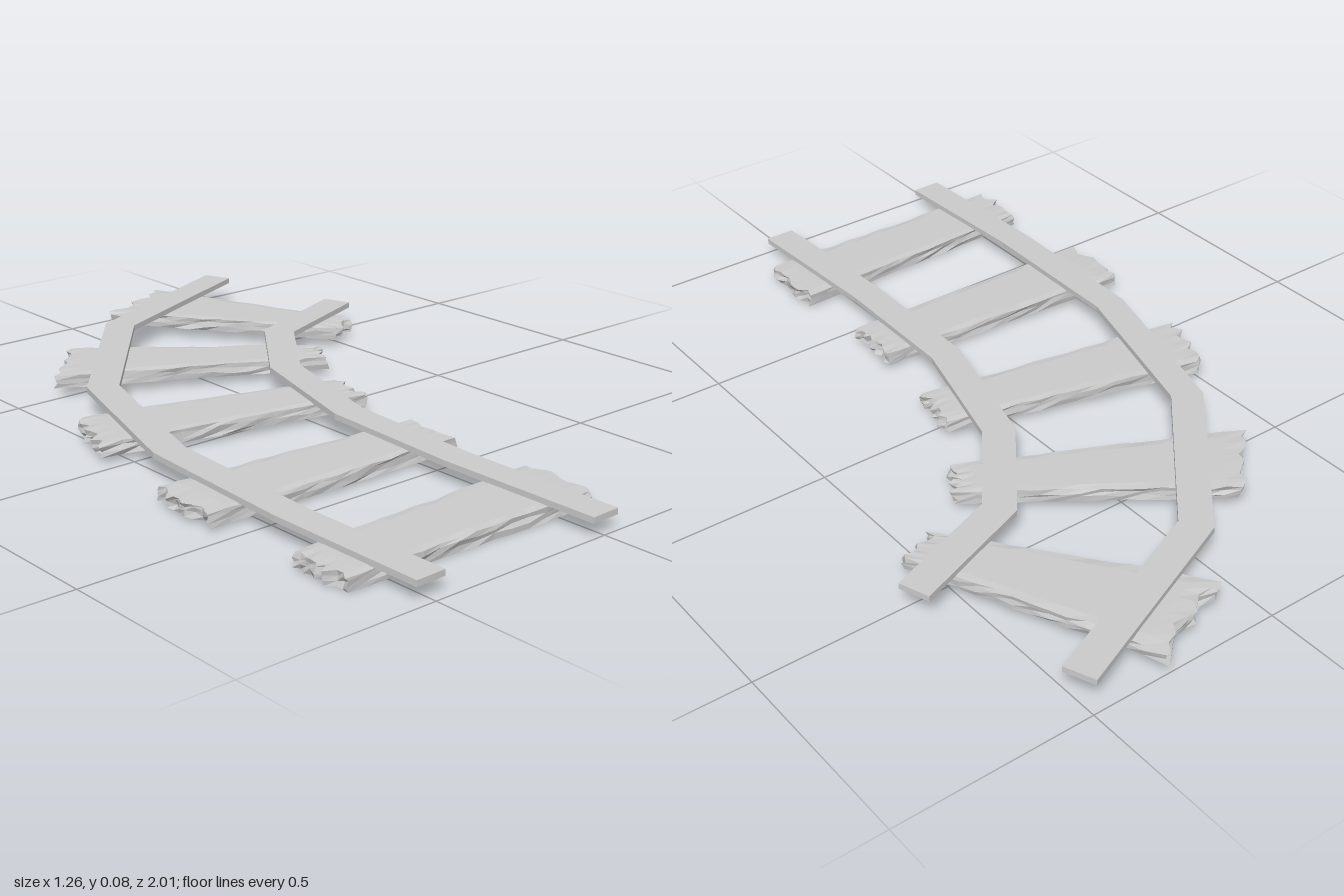
import * as THREE from 'three';

const material = new THREE.MeshStandardMaterial({
  color: 0xcccccc, flatShading: true, side: THREE.DoubleSide,
});

// the track climbs gently towards the back
const railBottom = z => 0.041 + (1 - z) * 0.016;

// repeatable noise in -1..1 from grid indices
function noise(a, b, c, d) {
  const s = Math.sin(a * 127.1 + b * 311.7 + c * 74.7 + d * 53.3) * 43758.5453;
  return (s - Math.floor(s)) * 2 - 1;
}

function reshape(geometry, rule) {
  const p = geometry.attributes.position;
  for (let i = 0; i < p.count; i++) {
    const [x, y, z] = rule(p.getX(i), p.getY(i), p.getZ(i));
    p.setXYZ(i, x, y, z);
  }
  geometry.computeVertexNormals();
  return geometry;
}

// flat bar swept along [x, z] points with mitred bends
function rail(name, points, width = 0.08, thickness = 0.015) {
  const pts = points.map(([x, z]) => new THREE.Vector2(x, z));
  const n = pts.length - 1;
  const dirs = pts.slice(1).map((p, i) => p.clone().sub(pts[i]).normalize());
  const sections = pts.map((p, i) => {
    const before = dirs[Math.max(i - 1, 0)], after = dirs[Math.min(i, n - 1)];
    const mid = before.clone().add(after).normalize();
    return { p, side: new THREE.Vector2(-mid.y, mid.x).multiplyScalar(width / mid.dot(after)) };
  });
  const geometry = reshape(new THREE.BoxGeometry(1, 1, 1, 1, 1, n), (x, y, z) => {
    const { p, side } = sections[Math.round((0.5 - z) * n)];
    return [p.x + side.x * x, railBottom(p.y) + (y + 0.5) * thickness, p.y + side.y * x];
  });
  const mesh = new THREE.Mesh(geometry, material);
  mesh.name = name;
  return mesh;
}

// tapered board between four [x, z] corners, with splintered ends and worn edges
function plank(seed, [a, b, c, d]) {
  const NU = 14, NY = 3, NV = 9, thickness = 0.036;
  const lerp = THREE.MathUtils.lerp;
  const len = Math.hypot(b[0] - a[0], b[1] - a[1]);
  const geometry = reshape(new THREE.BoxGeometry(1, 1, 1, NU, NY, NV), (x, y, z) => {
    const i = Math.round((x + 0.5) * NU), j = Math.round((y + 0.5) * NY), k = Math.round((z + 0.5) * NV);
    let u = x + 0.5, v = z + 0.5, lift = 0;
    const end = i === 0 || i === NU, edge = k === 0 || k === NV;
    if (end) u += (0.014 * noise(i, 0, k, seed) + 0.007 * noise(i, j, k, seed + 9)) / len;
    if (edge) v += 0.022 * noise(i, j, k, seed + 5);
    if ((end || edge) && j === NY) lift = -0.004 * Math.abs(noise(i, j, k, seed + 2));
    if ((end || edge) && j > 0 && j < NY) lift = 0.004 * noise(i, j, k, seed + 3);
    const px = lerp(lerp(a[0], b[0], u), lerp(d[0], c[0], u), v);
    const pz = lerp(lerp(a[1], b[1], u), lerp(d[1], c[1], u), v);
    return [px, railBottom(pz) + 0.001 + (y - 0.5) * thickness + lift, pz];
  });
  const mesh = new THREE.Mesh(geometry, material);
  mesh.name = 'plank' + seed;
  return mesh;
}

export function createModel() {
  const track = new THREE.Group();
  track.name = 'curvedTrack';

  // rails
  track.add(rail('outerRail', [
    [-0.495, 0.98], [-0.505, 0.565], [-0.487, 0.12], [-0.352, -0.335], [-0.016, -0.735], [0.5, -0.952],
  ]));
  track.add(rail('innerRail', [
    [0.008, 0.995], [-0.005, 0.565], [0.008, 0.185], [0.108, -0.17], [0.293, -0.415], [0.614, -0.534],
  ]));

  // planks, front to back
  const planks = [
    [[-0.61, 0.7], [0.115, 0.675], [0.115, 0.873], [-0.61, 0.86]],
    [[-0.613, 0.25], [0.108, 0.295], [0.105, 0.45], [-0.62, 0.445]],
    [[-0.505, -0.225], [0.172, -0.045], [0.142, 0.09], [-0.56, -0.035]],
    [[-0.22, -0.685], [0.325, -0.292], [0.265, -0.2], [-0.365, -0.51]],
    [[0.31, -0.99], [0.555, -0.42], [0.455, -0.38], [0.068, -0.89]],
  ];
  planks.forEach((corners, i) => track.add(plank(i + 1, corners)));

  return track;
}
